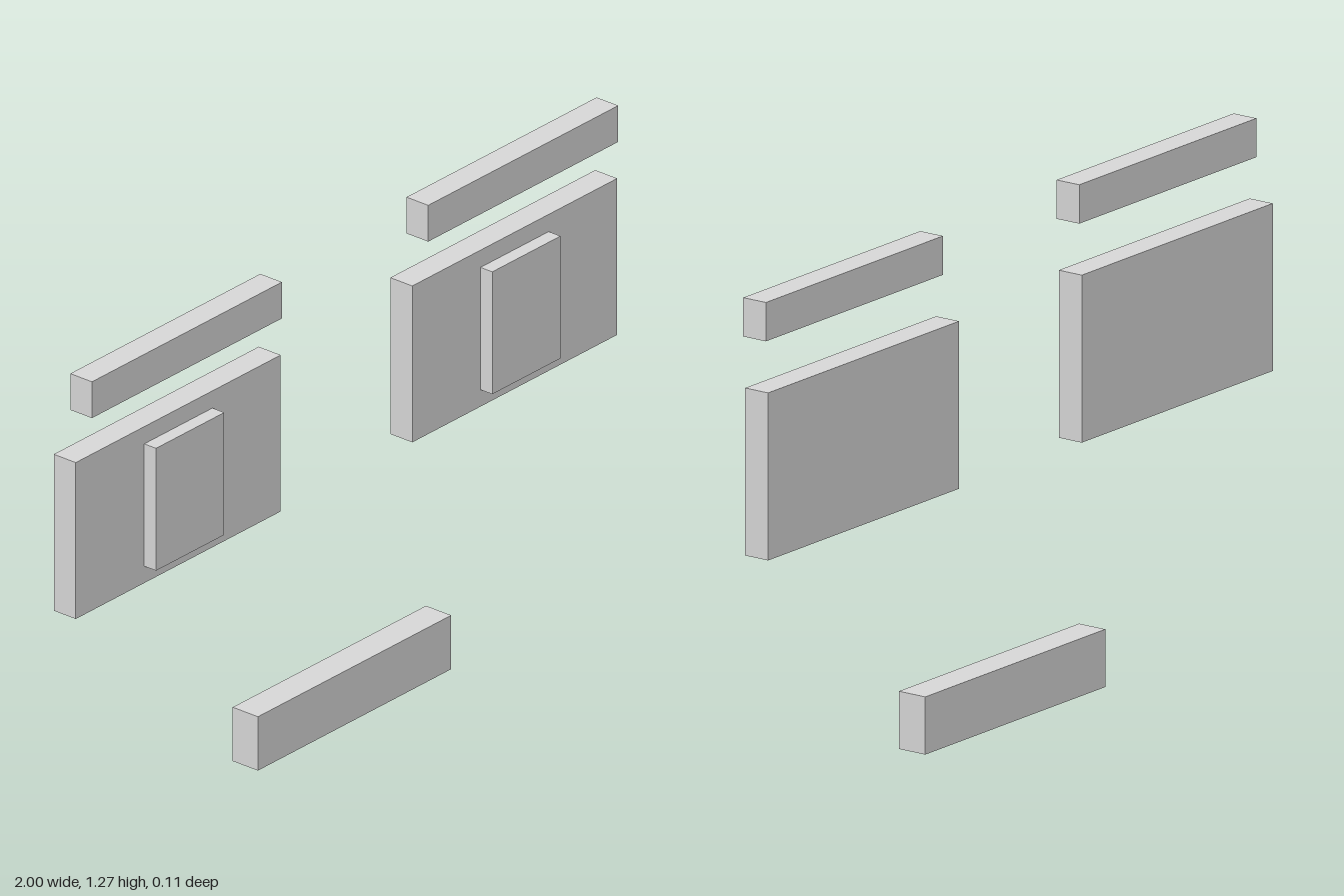
import * as THREE from 'three';

const grey = new THREE.MeshStandardMaterial({ color: 0xd6d6d6 });
grey.name = 'light grey';

// Box given by its centre x, width, and its y and z ranges
function block(name, x, width, [y0, y1], [z0, z1]) {
  const mesh = new THREE.Mesh(new THREE.BoxGeometry(width, y1 - y0, z1 - z0), grey);
  mesh.position.set(x, (y0 + y1) / 2, (z0 + z1) / 2);
  mesh.name = name;
  return mesh;
}

export function createModel() {
  const face = new THREE.Group();
  face.name = 'face';

  // Brow, eye plate and pupil on each side
  for (const [side, s] of [['left', 1], ['right', -1]]) {
    const x = s * 0.621;
    face.add(
      block(side + 'Brow', x, 0.702, [1.175, 1.272], [-0.025, 0.043]),
      block(side + 'Eye', s * 0.6215, 0.757, [0.64, 1.058], [-0.053, 0.016]),
      block(side + 'Pupil', x, 0.252, [0.685, 1.012], [0.015, 0.053]),
    );
  }

  // Mouth bar
  face.add(block('mouth', -0.002, 0.714, [0, 0.144], [-0.036, 0.043]));
  return face;
}
